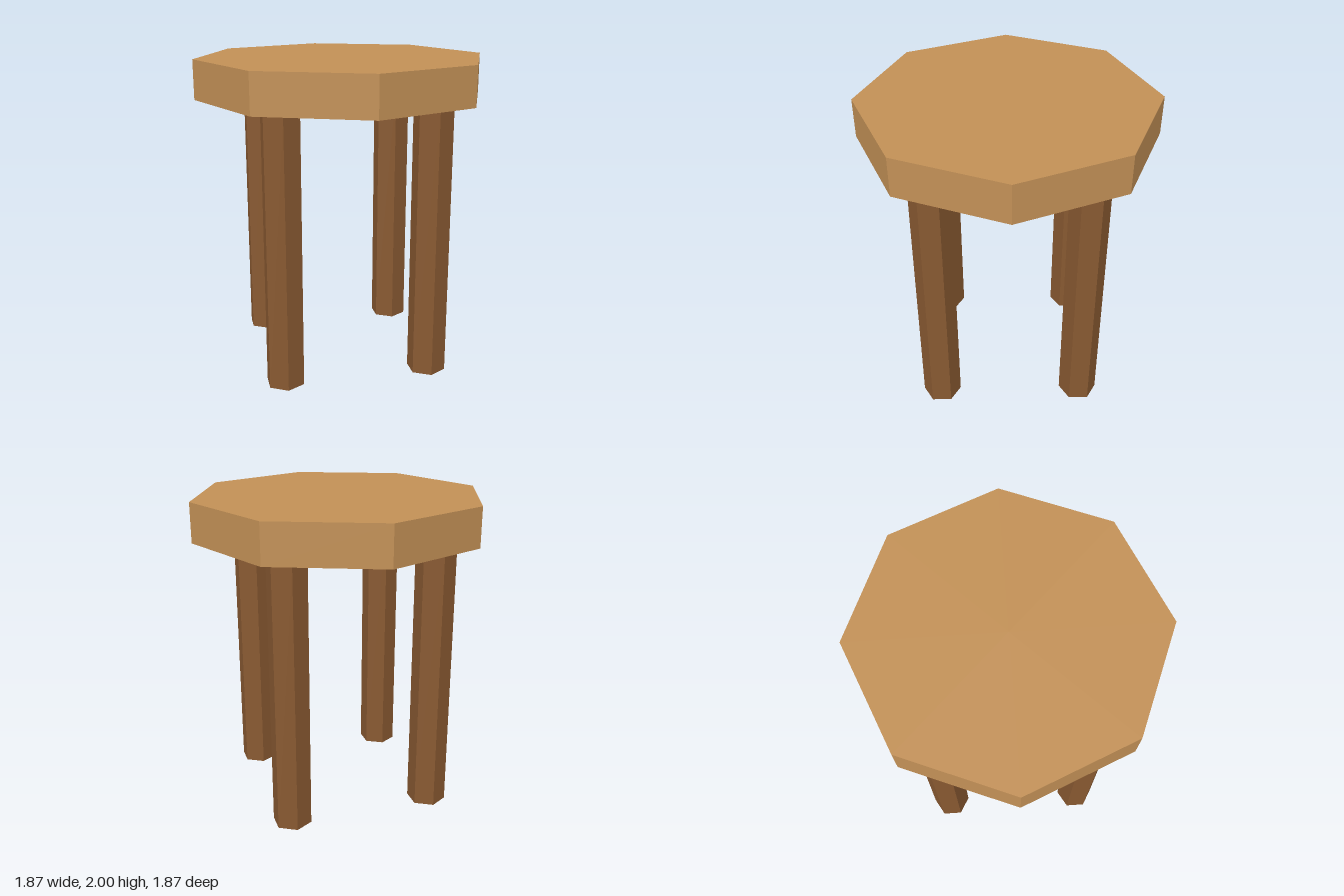
import * as THREE from 'three';

export function createModel() {
  const seatWood = new THREE.MeshStandardMaterial({ color: 0xc29056, flatShading: true });
  seatWood.name = 'light wood';
  const legWood = new THREE.MeshStandardMaterial({ color: 0x885931, flatShading: true });
  legWood.name = 'dark wood';

  const stool = new THREE.Group();
  stool.name = 'stool';

  // Octagonal seat slab
  const seat = new THREE.Mesh(new THREE.CylinderGeometry(0.935, 0.935, 0.25, 8), seatWood);
  seat.name = 'seat';
  seat.position.y = 1.875;
  stool.add(seat);

  // Four straight hexagonal legs
  const legGeometry = new THREE.CylinderGeometry(0.125, 0.125, 1.75, 6);
  const spread = 0.468;
  for (const [end, sz] of [['front', 1], ['back', -1]]) {
    for (const [side, sx] of [['Left', 1], ['Right', -1]]) {
      const leg = new THREE.Mesh(legGeometry, legWood);
      leg.name = `${end}${side}Leg`;
      leg.position.set(sx * spread, 0.875, sz * spread);
      stool.add(leg);
    }
  }
  return stool;
}
